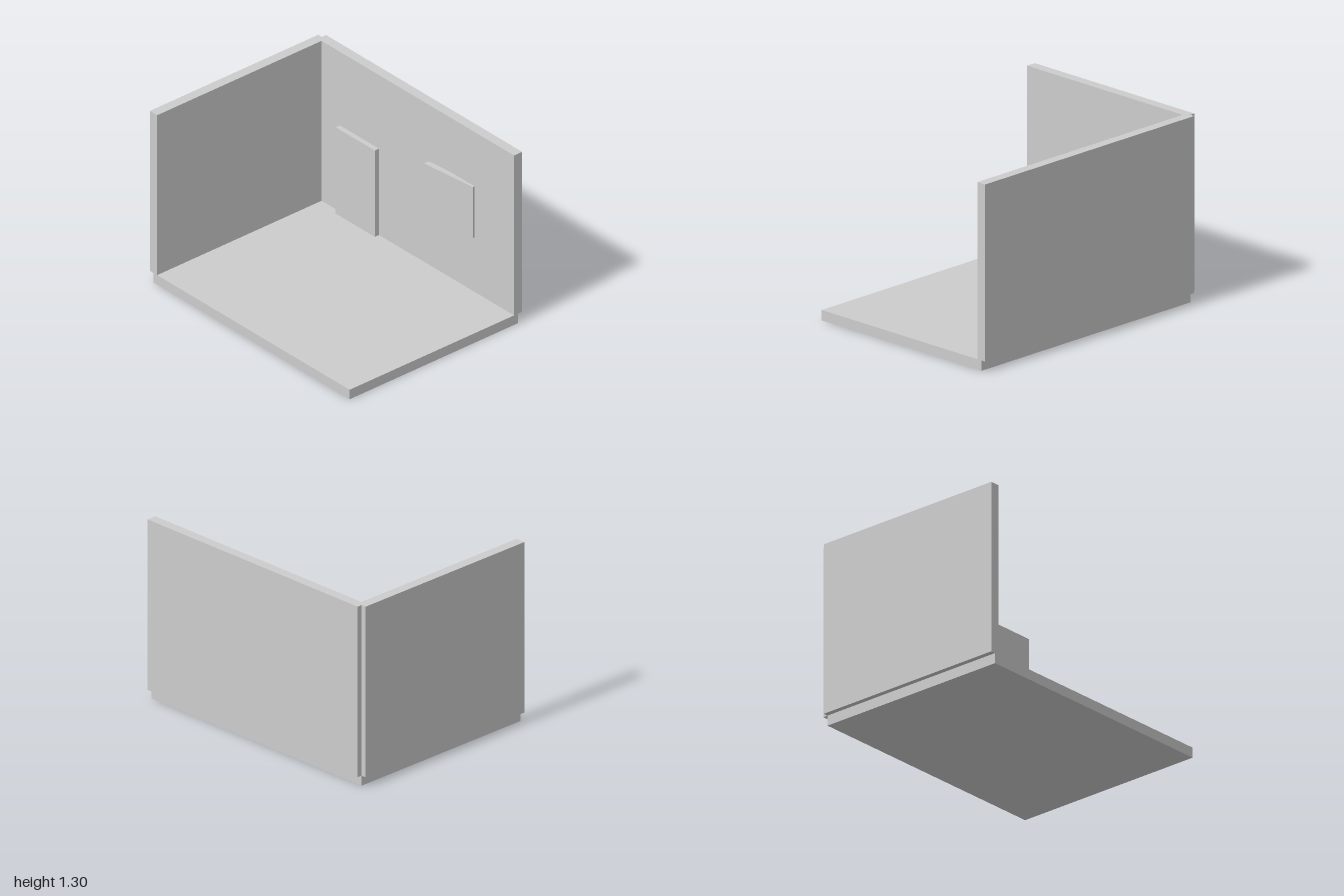
import * as THREE from 'three';

export function createModel() {
  const model = new THREE.Group();
  const plaster = new THREE.MeshStandardMaterial({ color: 0xcccccc });
  plaster.name = 'light grey plaster';

  // Box given by its extents along each axis
  function slab(name, [x0, x1], [y0, y1], [z0, z1]) {
    const mesh = new THREE.Mesh(new THREE.BoxGeometry(x1 - x0, y1 - y0, z1 - z0), plaster);
    mesh.position.set((x0 + x1) / 2, (y0 + y1) / 2, (z0 + z1) / 2);
    mesh.name = name;
    model.add(mesh);
    return mesh;
  }

  // Room shell: the walls stand half over the floor's edges
  slab('floor', [-0.963, 1], [0, 0.073], [-0.717, 0.753]);
  slab('sideWall', [-1, -0.927], [0.073, 1.303], [-0.717, 0.753]);
  slab('backWall', [-0.963, 1], [0.073, 1.303], [-0.753, -0.682]);

  // Door against the back wall
  slab('door', [-0.745, -0.352], [0.073, 0.737], [-0.7, -0.645]);

  // Window panel, turned slightly so its far end sinks into the wall
  const panel = slab('windowPanel', [0.166, 0.604], [0.493, 0.885], [-0.686, -0.646]);
  panel.position.z = -0.665;
  panel.rotation.y = 0.1;

  return model;
}
